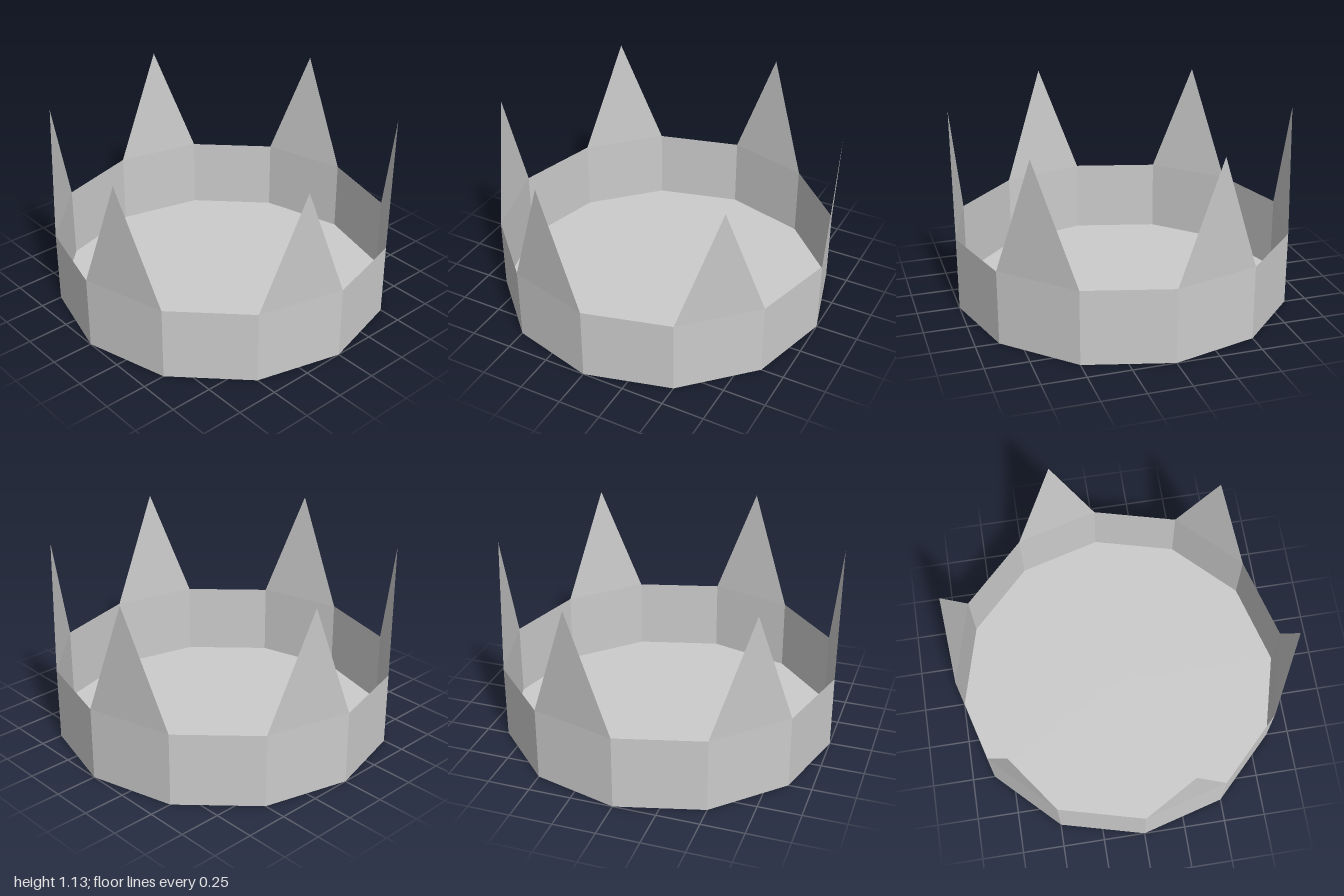
import * as THREE from 'three';

const SIDES = 12, RADIUS = 1, BAND_HEIGHT = 0.44, TIP_HEIGHT = 1.135;

export function createModel() {
  const group = new THREE.Group();
  group.name = 'crown';
  const material = new THREE.MeshStandardMaterial({
    color: 0xcccccc, flatShading: true, side: THREE.DoubleSide,
  });
  const add = (name, geometry) => {
    const mesh = new THREE.Mesh(geometry, material);
    mesh.name = name;
    group.add(mesh);
    return mesh;
  };

  // Thin twelve-sided band, open at the top
  add('band', new THREE.CylinderGeometry(RADIUS, RADIUS, BAND_HEIGHT, SIDES, 1, true))
    .position.y = BAND_HEIGHT / 2;

  // Floor closing the underside
  add('floor', new THREE.CircleGeometry(RADIUS, SIDES).rotateX(Math.PI / 2));

  // One thin triangular point on every other side, its tip on the full radius
  const half = Math.PI / SIDES;
  const onRim = (angle, y) => new THREE.Vector3(RADIUS * Math.cos(angle), y, RADIUS * Math.sin(angle));
  for (let i = 0; i < SIDES / 2; i++) {
    const angle = Math.PI / 4 + i * 4 * half;
    const geometry = new THREE.BufferGeometry().setFromPoints([
      onRim(angle + half, BAND_HEIGHT),
      onRim(angle - half, BAND_HEIGHT),
      onRim(angle, TIP_HEIGHT),
    ]);
    geometry.computeVertexNormals();
    add('point' + (i + 1), geometry);
  }
  return group;
}
